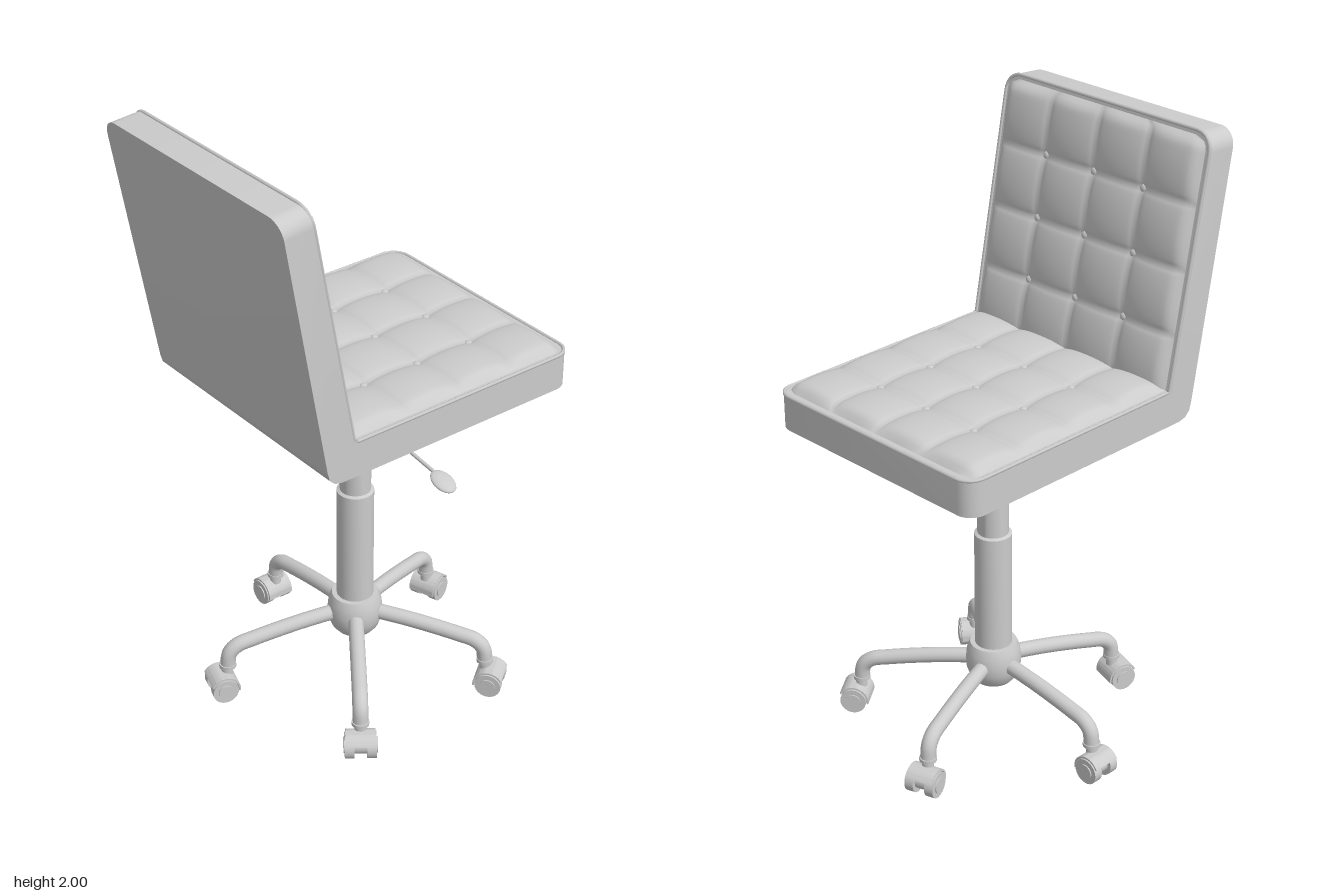
import * as THREE from 'three';
import { toCreasedNormals } from 'three/addons/utils/BufferGeometryUtils.js';

const grey = new THREE.MeshStandardMaterial({ color: 0xcccccc, side: THREE.DoubleSide });
const V = (x, y, z) => new THREE.Vector3(x, y, z);
const ZC = 0.025, XC = 0.03;     // seat centre line and column position
const HALF = 0.422;              // half width of seat and back

function add(parent, name, geometry, x = 0, y = 0, z = 0) {
  const mesh = new THREE.Mesh(geometry, grey);
  mesh.name = name;
  mesh.position.set(x, y, z);
  parent.add(mesh);
  return mesh;
}

// Skin over four-cornered cross-sections, capped at both ends
function loft(sections) {
  const pos = [];
  const tri = (...pts) => pts.forEach((p) => pos.push(p.x, p.y, p.z));
  const quad = (a, b, c, d) => { tri(a, b, c); tri(a, c, d); };
  for (let i = 0; i < sections.length - 1; i++) {
    const a = sections[i], b = sections[i + 1];
    for (let j = 0; j < 4; j++) {
      const k = (j + 1) % 4;
      quad(a[j], a[k], b[k], b[j]);
    }
  }
  const s = sections[0], e = sections[sections.length - 1];
  quad(s[0], s[3], s[2], s[1]);
  quad(e[0], e[1], e[2], e[3]);
  const g = new THREE.BufferGeometry();
  g.setAttribute('position', new THREE.Float32BufferAttribute(pos, 3));
  return toCreasedNormals(g, 0.6);
}

// L-shaped shell: rounded front end, bend, rounded top end
function shellProfile() {
  const list = [], r = 0.055, N = 8;
  const push = (ox, oy, ix, iy, w) => list.push({ o: [ox, oy], i: [ix, iy], w });
  const round = (k) => {
    const a = (k / N) * Math.PI / 2;
    return [r * (1 - Math.cos(a)), HALF - r + r * Math.sin(a)];
  };
  for (let k = 0; k <= N; k++) {
    const [d, w] = round(k);
    push(0.53 - d, 1.105, 0.53 - d, 1.22, w);
  }
  [[-0.35, 1.105], [-0.378, 1.111], [-0.396, 1.128], [-0.404, 1.155]]
    .forEach(([x, y]) => push(x, y, -0.305, 1.22, HALF));
  for (let k = N; k >= 0; k--) {
    const [d, w] = round(k);
    push(-0.553 + 0.18 * d, 1.99 - d, -0.453 + 0.19 * d, 1.998 - d, w);
  }
  return list;
}

// Tufted 4 x 4 pad: origin at the middle of the start edge, u along, n outward
function tuftedPad(parent, name, origin, u, n, length) {
  const pad = new THREE.Group();
  pad.name = name;
  parent.add(pad);
  const S = 64, w = 0.404, r = 0.04;
  const g = new THREE.PlaneGeometry(1, 1, S, S);
  const p = g.attributes.position;
  const puff = (t) => Math.pow(Math.abs(Math.sin(4 * Math.PI * t)), 0.55);
  const edge = (t) => Math.min(1, Math.pow(Math.max(0, t) / 0.035, 0.5));
  const place = (s, t, h) => {
    const d = Math.max(0, r - (1 - s) * length);
    const hw = w - r + Math.sqrt(Math.max(0, r * r - d * d));
    return origin.clone().addScaledVector(u, s * length)
      .addScaledVector(n, h).add(V(0, 0, (t * 2 - 1) * hw));
  };
  for (let i = 0; i < p.count; i++) {
    const s = p.getX(i) + 0.5, t = p.getY(i) + 0.5;
    const rim = edge(Math.min(t, 1 - t)) * edge(1 - s) * edge(s);
    const q = place(s, t, 0.002 + rim * (0.003 + 0.015 * (puff(s) + puff(t))));
    p.setXYZ(i, q.x, q.y, q.z);
  }
  g.computeVertexNormals();
  add(pad, name + 'Surface', g);
  // Buttons at the seam crossings
  for (let a = 1; a < 4; a++) for (let b = 1; b < 4; b++) {
    const q = place(a / 4, b / 4, 0.008);
    const button = add(pad, 'button', new THREE.SphereGeometry(0.013, 12, 8), q.x, q.y, q.z);
    button.scale.set(1, 0.6, 1);
    button.quaternion.setFromUnitVectors(V(0, 1, 0), n);
  }
}

// Twin-wheel caster rolling along x
function caster() {
  const c = new THREE.Group();
  c.name = 'caster';
  for (const side of [-1, 1]) {
    add(c, 'wheel', new THREE.CylinderGeometry(0.043, 0.043, 0.03, 24), 0, 0.043, side * 0.035).rotation.x = Math.PI / 2;
    add(c, 'wheelCap', new THREE.CylinderGeometry(0.026, 0.026, 0.006, 20), 0, 0.043, side * 0.051).rotation.x = Math.PI / 2;
  }
  add(c, 'casterBody', new THREE.CylinderGeometry(0.03, 0.03, 0.045, 20), 0, 0.046, 0).rotation.x = Math.PI / 2;
  const arc = new THREE.Shape();
  arc.absarc(0, 0, 0.051, 0.5, 3.3, false);
  arc.absarc(0, 0, 0.045, 3.3, 0.5, true);
  const hood = new THREE.ExtrudeGeometry(arc, { depth: 0.094, bevelEnabled: false, curveSegments: 16 });
  add(c, 'hood', toCreasedNormals(hood, 0.6), 0, 0.043, -0.047);
  add(c, 'stem', new THREE.CylinderGeometry(0.019, 0.019, 0.05, 16), -0.02, 0.105, 0);
  return c;
}

export function createModel() {
  const model = new THREE.Group();
  model.name = 'swivelChair';

  // Seat and back shell with a thin welt along its rim
  const profile = shellProfile();
  add(model, 'shell', loft(profile.map(({ o, i, w }) => [
    V(o[0], o[1], ZC - w), V(o[0], o[1], ZC + w), V(i[0], i[1], ZC + w), V(i[0], i[1], ZC - w)])));
  const rim = [];
  const side = (s) => profile.map(({ i, w }) => V(i[0], i[1], ZC + s * (w - 0.004)));
  [...side(1), ...side(-1).reverse()].forEach((q) => {
    if (!rim.length || rim[rim.length - 1].distanceTo(q) > 1e-4) rim.push(q);
  });
  const welt = new THREE.CurvePath();
  rim.forEach((q, i) => welt.add(new THREE.LineCurve3(q, rim[(i + 1) % rim.length])));
  add(model, 'welt', new THREE.TubeGeometry(welt, 300, 0.006, 6, true));

  // Cushions
  const up = V(-0.148, 0.778, 0).normalize();
  tuftedPad(model, 'seatCushion', V(-0.305, 1.22, ZC), V(1, 0, 0), V(0, 1, 0), 0.813);
  tuftedPad(model, 'backCushion', V(-0.3, 1.195, ZC), up, V(up.y, -up.x, 0), 0.803);

  // Bent mounting plate with screws on its side flanges
  add(model, 'mountingPlate', loft([
    [-0.25, 1.094, 0.12], [-0.235, 1.094, 0.135], [-0.17, 1.094, 0.135], [-0.07, 1.055, 0.24],
    [0.07, 1.055, 0.24], [0.17, 1.094, 0.135], [0.235, 1.094, 0.135], [0.25, 1.094, 0.12],
  ].map(([z, y, w]) => [V(XC - w, y, ZC + z), V(XC + w, y, ZC + z), V(XC + w, y + 0.01, ZC + z), V(XC - w, y + 0.01, ZC + z)])));
  for (const sx of [-1, 1]) for (const sz of [-1, 1])
    add(model, 'screw', new THREE.CylinderGeometry(0.014, 0.014, 0.014, 12), XC + sx * 0.08, 1.092, ZC + sz * 0.21);
  add(model, 'mountBlock', new THREE.BoxGeometry(0.105, 0.09, 0.105), XC, 1.06, ZC);

  // Height lever
  const wire = new THREE.CatmullRomCurve3([
    V(XC, 1.07, 0.05), V(XC, 1.055, 0.1), V(XC, 1.005, 0.19), V(XC, 0.985, 0.25), V(XC, 0.96, 0.42)]);
  add(model, 'leverRod', new THREE.TubeGeometry(wire, 32, 0.006, 8));
  const paddle = add(model, 'leverPaddle', new THREE.SphereGeometry(1, 20, 12), XC, 0.95, 0.445);
  paddle.scale.set(0.034, 0.012, 0.048);
  paddle.rotation.x = 0.3;

  // Telescopic column and hub
  const lathe = (pts) => toCreasedNormals(
    new THREE.LatheGeometry(pts.map(([r, y]) => new THREE.Vector2(r, y)), 32), 0.6);
  add(model, 'column', lathe([[0, 0.28], [0.06, 0.28], [0.06, 0.7], [0.05, 0.705], [0.05, 0.86],
    [0.041, 0.865], [0.041, 1.03], [0, 1.03]]), XC, 0, ZC);
  add(model, 'hub', lathe([[0, 0.175], [0.04, 0.175], [0.045, 0.16], [0.062, 0.16], [0.078, 0.18],
    [0.088, 0.21], [0.09, 0.24], [0.086, 0.275], [0.076, 0.3], [0, 0.3]]), XC, 0, ZC);

  // Five curved legs on casters
  const legPath = new THREE.CatmullRomCurve3([
    V(0.05, 0.237, 0), V(0.2, 0.222, 0), V(0.35, 0.198, 0), V(0.405, 0.185, 0), V(0.432, 0.16, 0), V(0.44, 0.112, 0)]);
  for (let i = 0; i < 5; i++) {
    const leg = new THREE.Group();
    leg.name = 'leg';
    leg.position.set(XC, 0, ZC);
    leg.rotation.y = Math.PI / 2 + (i * Math.PI * 2) / 5;
    add(leg, 'legTube', new THREE.TubeGeometry(legPath, 40, 0.025, 14));
    add(leg, 'legCollar', new THREE.CylinderGeometry(0.028, 0.028, 0.012, 16), 0.44, 0.115, 0);
    const c = caster();
    c.position.x = 0.462;
    leg.add(c);
    model.add(leg);
  }
  return model;
}
